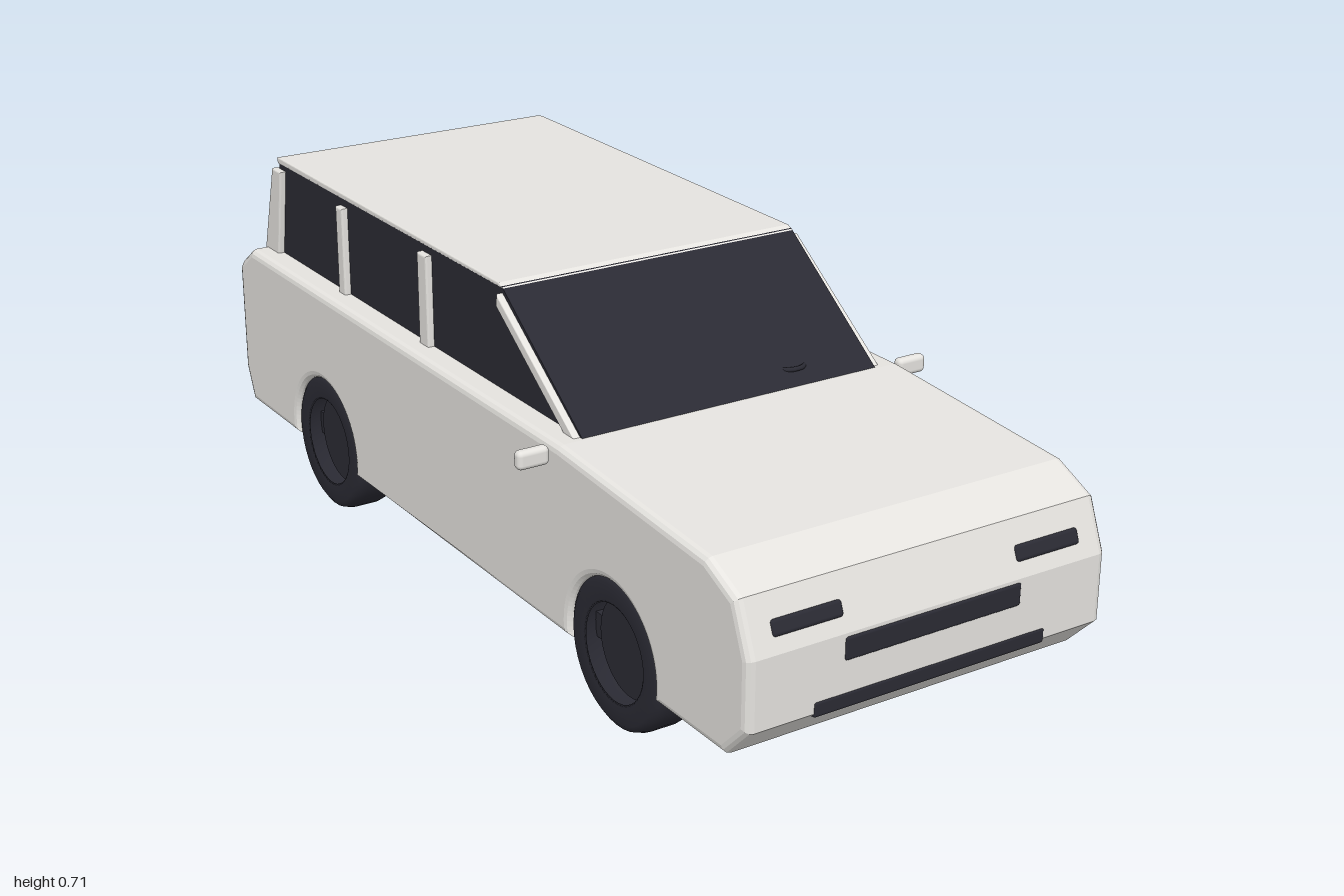
import * as THREE from 'three';
import { RoundedBoxGeometry } from 'three/addons/geometries/RoundedBoxGeometry.js';

const paint = new THREE.MeshStandardMaterial({ color: 0xe5e3df });
paint.name = 'body paint';
const dark = new THREE.MeshStandardMaterial({ color: 0x2a2a33 });
dark.name = 'dark glass and rubber';

// Body outline in (z, y), from the front sill over the top to the rear sill
const SILL = 0.123;
const OUTLINE = [
  [0.932, SILL], [0.997, 0.19], [0.997, 0.324], [0.957, 0.423], [0.87, 0.463], [0.4, 0.494],
  [-0.93, 0.496], [-0.985, 0.457], [-0.998, 0.44], [-0.998, 0.2], [-0.965, SILL],
];
const AXLES = [-0.584, 0.576];
const WHEEL_Y = 0.152;
const ARCH = 0.142;

function shapeOf(points) {
  return new THREE.Shape(points.map(([z, y]) => new THREE.Vector2(z, y)));
}

// Extrudes a (z, y) shape across x, centred on x = 0
function across(shape, width, bevel = 0) {
  const g = new THREE.ExtrudeGeometry(shape, {
    depth: width - 2 * bevel, curveSegments: 24, bevelEnabled: bevel > 0,
    bevelSize: bevel, bevelThickness: bevel, bevelOffset: -bevel, bevelSegments: 3,
  });
  g.translate(0, 0, -(width - 2 * bevel) / 2);
  return g.rotateY(-Math.PI / 2);
}

export function createModel() {
  const car = new THREE.Group();
  car.name = 'car';

  function add(name, geometry, material, x = 0, y = 0, z = 0) {
    const mesh = new THREE.Mesh(geometry, material);
    mesh.name = name;
    mesh.position.set(x, y, z);
    car.add(mesh);
    return mesh;
  }

  // Lower body with wheel arches cut through its full width
  const body = shapeOf(OUTLINE);
  const dip = Math.asin((WHEEL_Y - SILL) / ARCH);
  for (const z of AXLES) body.absarc(z, WHEEL_Y, ARCH, Math.PI + dip, -dip, true);
  body.closePath();
  add('body', across(body, 0.784, 0.016), paint);

  // Dark underbody
  add('floor', new THREE.BoxGeometry(0.68, 0.05, 1.53), dark, 0, 0.145, -0.175);

  // Glass cabin and roof
  const cabin = shapeOf([[0.407, 0.485], [0.11, 0.702], [-0.872, 0.702], [-0.944, 0.485]]);
  add('windows', across(cabin, 0.67), dark);
  const roof = shapeOf([[0.115, 0.699], [0.1, 0.707], [-0.87, 0.714], [-0.885, 0.712], [-0.88, 0.7]]);
  add('roof', across(roof, 0.672, 0.003), paint);

  // Window pillars on both sides
  const pillars = {
    frontPillar: [[0.4, 0.485], [0.112, 0.69], [0.108, 0.665], [0.36, 0.485]],
    middlePillar: [[-0.168, 0.485], [-0.168, 0.685], [-0.206, 0.685], [-0.206, 0.485]],
    rearDoorPillar: [[-0.54, 0.485], [-0.54, 0.685], [-0.57, 0.685], [-0.57, 0.485]],
    tailPillar: [[-0.875, 0.485], [-0.842, 0.69], [-0.885, 0.69], [-0.945, 0.485]],
  };
  for (const [name, points] of Object.entries(pillars)) {
    const g = across(shapeOf(points), 0.018, 0.004);
    for (const s of [1, -1]) add(name, g, paint, s * 0.34);
  }

  // Wheels: hollow tyre with inner lips and a thin hub disc between them
  const tyreProfile = [
    [0.13, -0.044], [0.095, -0.047], [0.1, -0.05], [0.135, -0.05], [0.147, -0.042], [0.152, -0.025],
    [0.152, 0.025], [0.147, 0.042], [0.135, 0.05], [0.1, 0.05], [0.095, 0.047], [0.13, 0.044], [0.13, -0.044],
  ].map(([r, x]) => new THREE.Vector2(r, x));
  const tyre = new THREE.LatheGeometry(tyreProfile, 40).rotateZ(Math.PI / 2);
  const hub = new THREE.CylinderGeometry(0.097, 0.097, 0.03, 36).rotateZ(Math.PI / 2);
  for (const s of [1, -1]) {
    for (const z of AXLES) {
      add('tyre', tyre, dark, s * 0.335, WHEEL_Y, z);
      add('hub', hub, dark, s * 0.335, WHEEL_Y, z);
    }
    // Door mirrors and headlights
    add('mirror', new RoundedBoxGeometry(0.066, 0.037, 0.024, 3, 0.01), paint, s * 0.433, 0.475, 0.38);
    const lamp = add('headlight', new RoundedBoxGeometry(0.146, 0.031, 0.016, 3, 0.007), dark,
      s * 0.262, 0.364, 0.977);
    lamp.rotation.x = -0.38;
  }

  // Grille and lower intake
  add('grille', new RoundedBoxGeometry(0.386, 0.046, 0.016, 3, 0.006), dark, 0, 0.295, 0.992);
  add('lowerIntake', new RoundedBoxGeometry(0.51, 0.031, 0.016, 3, 0.006), dark, 0, 0.197, 0.991);

  // Rim of the steering wheel at the foot of the windscreen
  const steering = add('steeringWheel', new THREE.TorusGeometry(0.035, 0.005, 8, 28), dark, 0.165, 0.514, 0.333);
  steering.rotation.x = Math.PI / 2 - 0.1;

  return car;
}
